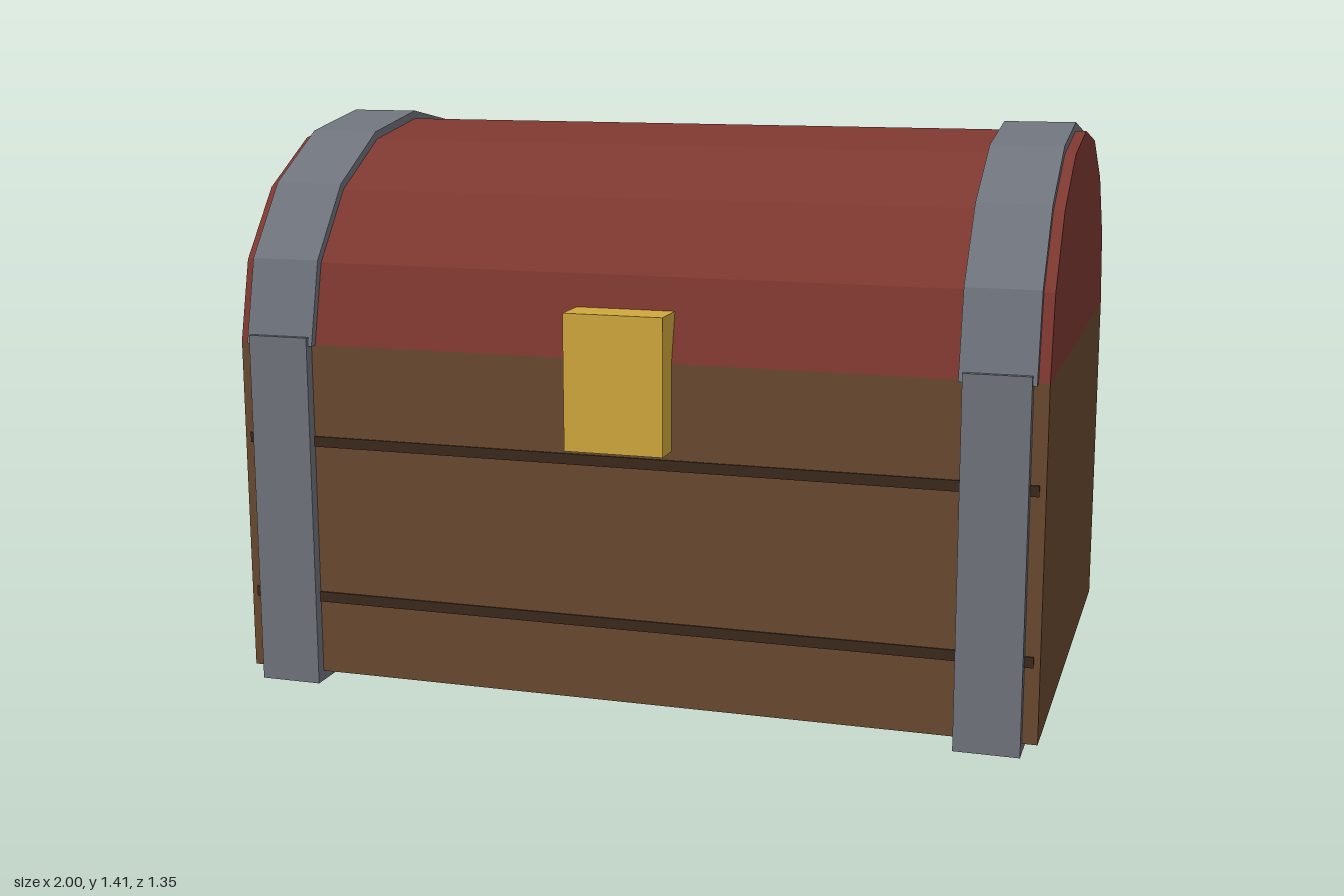
import * as THREE from 'three';

const flat = (name, color) => {
  const m = new THREE.MeshStandardMaterial({ color, flatShading: true });
  m.name = name;
  return m;
};

const BODY_Z = -0.02; // chest body sits slightly behind the lock
const LID_Y = 0.87;

// Half-oval prism running along x, with eight flat facets
function archGeometry(halfDepth, height, width) {
  const shape = new THREE.Shape();
  for (let i = 0; i <= 8; i++) {
    const a = (i / 8) * Math.PI;
    const x = Math.cos(a) * halfDepth, y = Math.sin(a) * height;
    if (i === 0) shape.moveTo(x, y);
    else shape.lineTo(x, y);
  }
  shape.closePath();
  const geo = new THREE.ExtrudeGeometry(shape, { depth: width, bevelEnabled: false });
  geo.translate(0, 0, -width / 2);
  geo.rotateY(-Math.PI / 2);
  return geo;
}

export function createModel() {
  const chest = new THREE.Group();
  chest.name = 'chest';

  const wood = flat('brown wood', 0x69492f);
  const darkWood = flat('dark groove', 0x3a291c);
  const red = flat('red lid', 0x7d3830);
  const iron = flat('grey iron', 0x6f737c);
  const gold = flat('gold lock', 0xd0a83d);

  const add = (name, geo, material, x, y, z) => {
    const mesh = new THREE.Mesh(geo, material);
    mesh.name = name;
    mesh.position.set(x, y, z);
    chest.add(mesh);
  };
  // Box given by its lower and upper corners
  const addBox = (name, material, [x0, y0, z0], [x1, y1, z1]) =>
    add(name, new THREE.BoxGeometry(x1 - x0, y1 - y0, z1 - z0), material,
      (x0 + x1) / 2, (y0 + y1) / 2, (z0 + z1) / 2);

  // Wooden body and domed lid
  addBox('body', wood, [-1, 0.025, -0.645], [1, LID_Y, 0.605]);
  add('lid', archGeometry(0.625, 0.518, 2), red, 0, LID_Y, BODY_Z);

  // Plank grooves on the front
  for (const y of [0.223, 0.625])
    addBox('plankGroove', darkWood, [-0.985, y - 0.013, 0.601], [0.985, y + 0.013, 0.609]);

  // Iron straps around body and lid
  for (const s of [-1, 1]) {
    const x = s * 0.886;
    addBox('bodyStrap', iron, [x - 0.078, 0, -0.675], [x + 0.078, 0.89, 0.633]);
    add('lidStrap', archGeometry(0.645, 0.541, 0.176), iron, x, LID_Y - 0.002, BODY_Z);
  }

  // Lock plate
  addBox('lock', gold, [-0.122, 0.66, 0.57], [0.122, 0.99, 0.675]);

  return chest;
}
